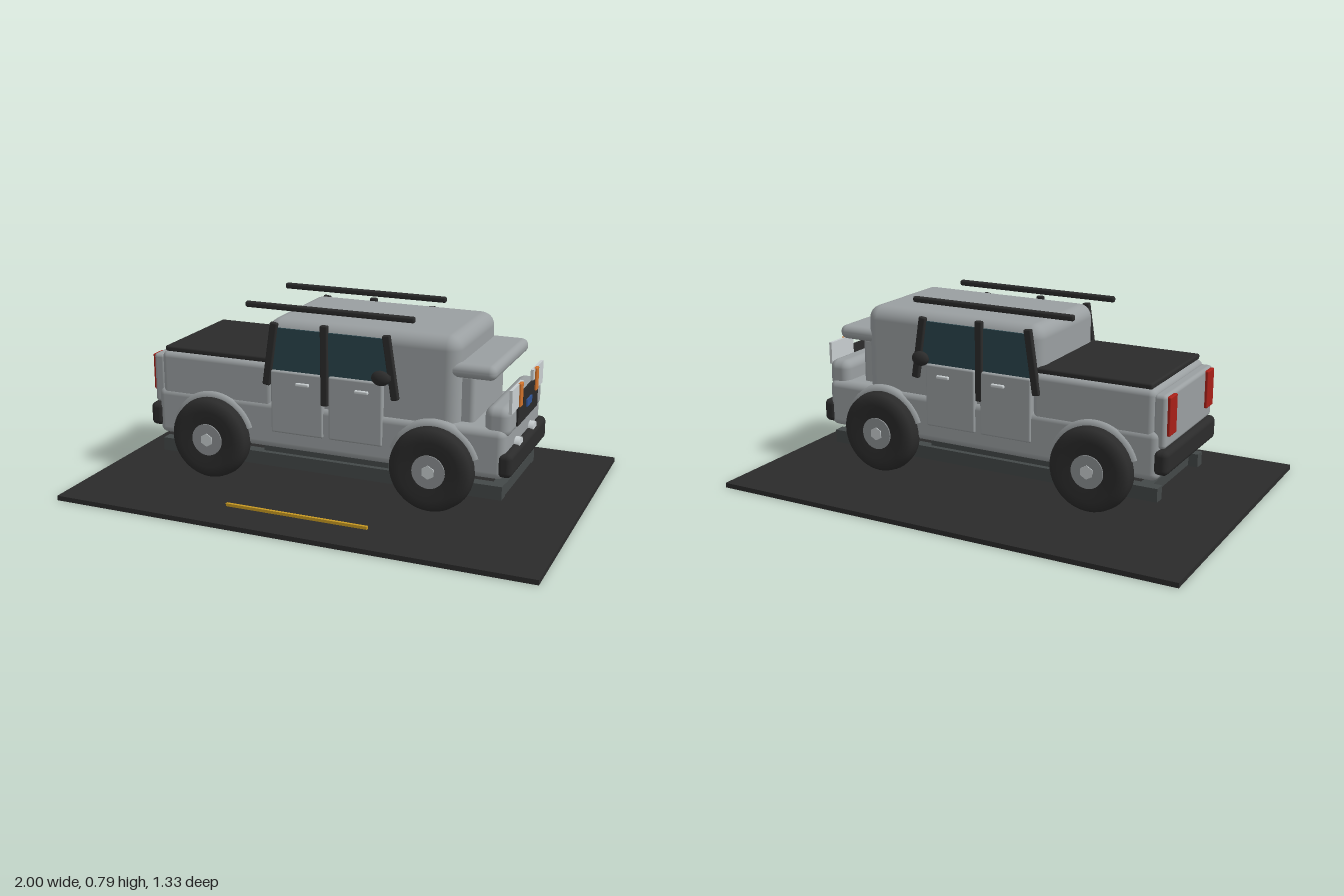
import * as THREE from 'three';
import { RoundedBoxGeometry } from 'three/addons/geometries/RoundedBoxGeometry.js';

const colours = {
  bodyGrey: 0x9a9fa1, trimBlack: 0x2b2b2b, glassTeal: 0x2a444c, lampGrey: 0xc8ced0, hubGrey: 0x8c9092,
  frameGrey: 0x434848, indicatorOrange: 0xd0722a, badgeBlue: 0x2f5496, tailRed: 0xa82018, stripYellow: 0xc99a22,
};

export function createModel() {
  const model = new THREE.Group();
  model.name = 'pickupDisplay';
  const M = {};
  for (const [name, color] of Object.entries(colours)) {
    M[name] = new THREE.MeshStandardMaterial({ color });
    M[name].name = name;
  }

  const add = (name, geo, mat, x = 0, y = 0, z = 0, parent = model) => {
    const mesh = new THREE.Mesh(geo, mat);
    mesh.name = name;
    mesh.position.set(x, y, z);
    parent.add(mesh);
    return mesh;
  };
  // Boxes given by their limits on each axis; r rounds the edges
  const box = (name, mat, [x0, x1], [y0, y1], [z0, z1], r = 0) => {
    const s = [x1 - x0, y1 - y0, z1 - z0];
    const geo = r ? new RoundedBoxGeometry(...s, 4, r) : new THREE.BoxGeometry(...s);
    return add(name, geo, mat, (x0 + x1) / 2, (y0 + y1) / 2, (z0 + z1) / 2);
  };
  const rod = (name, mat, r, x0, x1, y, z) => {
    const geo = new THREE.CylinderGeometry(r, r, x1 - x0, 20).rotateZ(Math.PI / 2);
    return add(name, geo, mat, (x0 + x1) / 2, y, z);
  };

  // Base and floor strip
  box('base', M.trimBlack, [-1, 1], [0, 0.02], [-0.665, 0.665]);
  box('floorStrip', M.stripYellow, [-0.3, 0.3], [0.034, 0.046], [0.514, 0.526]);

  // Main body volumes
  box('lowerBody', M.bodyGrey, [-0.75, 0.75], [0.2, 0.4], [-0.265, 0.265], 0.03);
  box('bed', M.bodyGrey, [-0.73, -0.22], [0.36, 0.557], [-0.26, 0.26], 0.025);
  box('bedCover', M.trimBlack, [-0.715, -0.235], [0.556, 0.579], [-0.25, 0.25], 0.008);
  box('cab', M.bodyGrey, [-0.25, 0.56], [0.34, 0.738], [-0.252, 0.252], 0.055);
  box('cowl', M.bodyGrey, [0.53, 0.61], [0.36, 0.59], [-0.205, 0.205], 0.02);
  box('visor', M.bodyGrey, [0.5, 0.7], [0.58, 0.638], [-0.245, 0.245], 0.027);
  box('nose', M.bodyGrey, [0.66, 0.76], [0.36, 0.483], [-0.25, 0.25], 0.035);

  // Bumpers
  box('frontBumper', M.trimBlack, [0.72, 0.78], [0.213, 0.31], [-0.267, 0.267], 0.022);
  box('rearBumper', M.trimBlack, [-0.79, -0.73], [0.23, 0.328], [-0.267, 0.267], 0.022);

  // Front panel, badge and rear gate
  box('grilleLower', M.trimBlack, [0.757, 0.767], [0.388, 0.463], [-0.146, 0.146]);
  box('grilleUpper', M.trimBlack, [0.757, 0.767], [0.46, 0.51], [-0.09, 0.08]);
  box('badge', M.badgeBlue, [0.765, 0.773], [0.435, 0.464], [-0.035, 0.037]);
  box('tailgate', M.bodyGrey, [-0.772, -0.72], [0.33, 0.54], [-0.25, 0.25], 0.015);

  // Chassis
  for (const x of [-0.68, -0.25, 0.2, 0.715])
    box('crossMember', M.frameGrey, [x - 0.025, x + 0.025], [0.12, 0.165], [-0.2, 0.2]);
  for (const x of [-0.49, 0.47])
    add('axle', new THREE.CylinderGeometry(0.02, 0.02, 0.5, 16).rotateX(Math.PI / 2), M.frameGrey, x, 0.2, 0);
  rod('driveShaft', M.hubGrey, 0.016, -0.45, 0.4, 0.18, 0);
  rod('muffler', M.hubGrey, 0.036, -0.28, -0.03, 0.15, 0.105).rotation.z = 0.06;
  rod('exhaustPipe', M.hubGrey, 0.014, -0.42, -0.27, 0.1, 0.105);
  rod('shockAbsorber', M.badgeBlue, 0.016, -0.06, 0.1, 0.19, 0.17);

  // Wheel profile: radius against width
  const tyreProfile = [[0.06, -0.04], [0.12, -0.047], [0.15, -0.043], [0.166, -0.028], [0.171, 0],
    [0.166, 0.028], [0.15, 0.043], [0.12, 0.047], [0.06, 0.04]].map(p => new THREE.Vector2(...p));
  const tyreGeo = new THREE.LatheGeometry(tyreProfile, 48).rotateX(Math.PI / 2);
  const rimGeo = new THREE.CylinderGeometry(0.067, 0.067, 0.092, 32).rotateX(Math.PI / 2);
  const capGeo = new THREE.CylinderGeometry(0.028, 0.028, 0.1, 6).rotateX(Math.PI / 2);
  const archGeo = new THREE.TorusGeometry(0.168, 0.026, 10, 32, Math.PI * 0.8).rotateZ(Math.PI * 0.1);

  // Side parts, mirrored over z
  for (const s of [1, -1]) {
    const side = (a, b) => (s > 0 ? [a, b] : [-b, -a]);
    for (const x of [-0.49, 0.47]) {
      const wheel = new THREE.Group();
      wheel.name = 'wheel';
      wheel.position.set(x, 0.22, s * 0.281);
      add('tyre', tyreGeo, M.trimBlack, 0, 0, 0, wheel);
      add('rim', rimGeo, M.hubGrey, 0, 0, 0, wheel);
      add('hubCap', capGeo, M.lampGrey, 0, 0, 0, wheel);
      model.add(wheel);
      add('wheelArch', archGeo, M.bodyGrey, x, 0.22, s * 0.25);
    }
    box('frameRail', M.frameGrey, [-0.745, 0.74], [0.115, 0.17], side(0.195, 0.242));
    box('sill', M.frameGrey, [-0.28, 0.27], [0.17, 0.2], side(0.19, 0.22));

    // Doors and handles
    for (const x of [-0.107, 0.145]) {
      box('door', M.bodyGrey, [x - 0.114, x + 0.114], [0.274, 0.535], side(0.24, 0.272), 0.008);
      box('doorHandle', M.lampGrey, [x, x + 0.058], [0.482, 0.496], side(0.27, 0.284), 0.005);
    }

    // Side glass as a thin tapered plate
    const glass = new THREE.Shape([[-0.235, 0.53], [0.3, 0.53], [0.27, 0.708], [-0.205, 0.708]]
      .map(p => new THREE.Vector2(...p)));
    add('sideWindow', new THREE.ExtrudeGeometry(glass, { depth: 0.008, bevelEnabled: false }),
      M.glassTeal, 0, 0, s > 0 ? 0.252 : -0.26);

    // Pillars: bottom x, y to top x, y
    for (const [x0, y0, x1, y1] of [[-0.242, 0.47, -0.203, 0.73], [0.012, 0.41, 0.012, 0.738], [0.31, 0.47, 0.27, 0.725]]) {
      const h = Math.hypot(x1 - x0, y1 - y0);
      const pillar = add('pillar', new RoundedBoxGeometry(0.032, h, 0.022, 2, 0.006), M.trimBlack,
        (x0 + x1) / 2, (y0 + y1) / 2, s * 0.262);
      pillar.rotation.z = -Math.atan2(x1 - x0, y1 - y0);
    }

    // Mirrors and roof rails
    add('mirror', new THREE.SphereGeometry(1, 24, 16), M.trimBlack, 0.263, 0.563, s * 0.299).scale.set(0.038, 0.03, 0.021);
    box('mirrorArm', M.trimBlack, [0.265, 0.295], [0.55, 0.57], side(0.25, 0.29));
    box('roofRail', M.trimBlack, [-0.365, 0.36], [0.763, 0.788], side(0.177, 0.199), 0.009);

    // Lamps
    box('headlamp', M.lampGrey, [0.752, 0.764], [0.46, 0.553], side(0.075, 0.232));
    box('indicator', M.indicatorOrange, [0.758, 0.772], [0.46, 0.555], side(0.1, 0.134), 0.004);
    add('fogLamp', new THREE.CylinderGeometry(0.028, 0.028, 0.03, 24).rotateZ(Math.PI / 2), M.lampGrey, 0.757, 0.305, s * 0.104);
    box('tailLamp', M.tailRed, [-0.784, -0.765], [0.38, 0.533], side(0.165, 0.235), 0.005);
  }
  return model;
}
